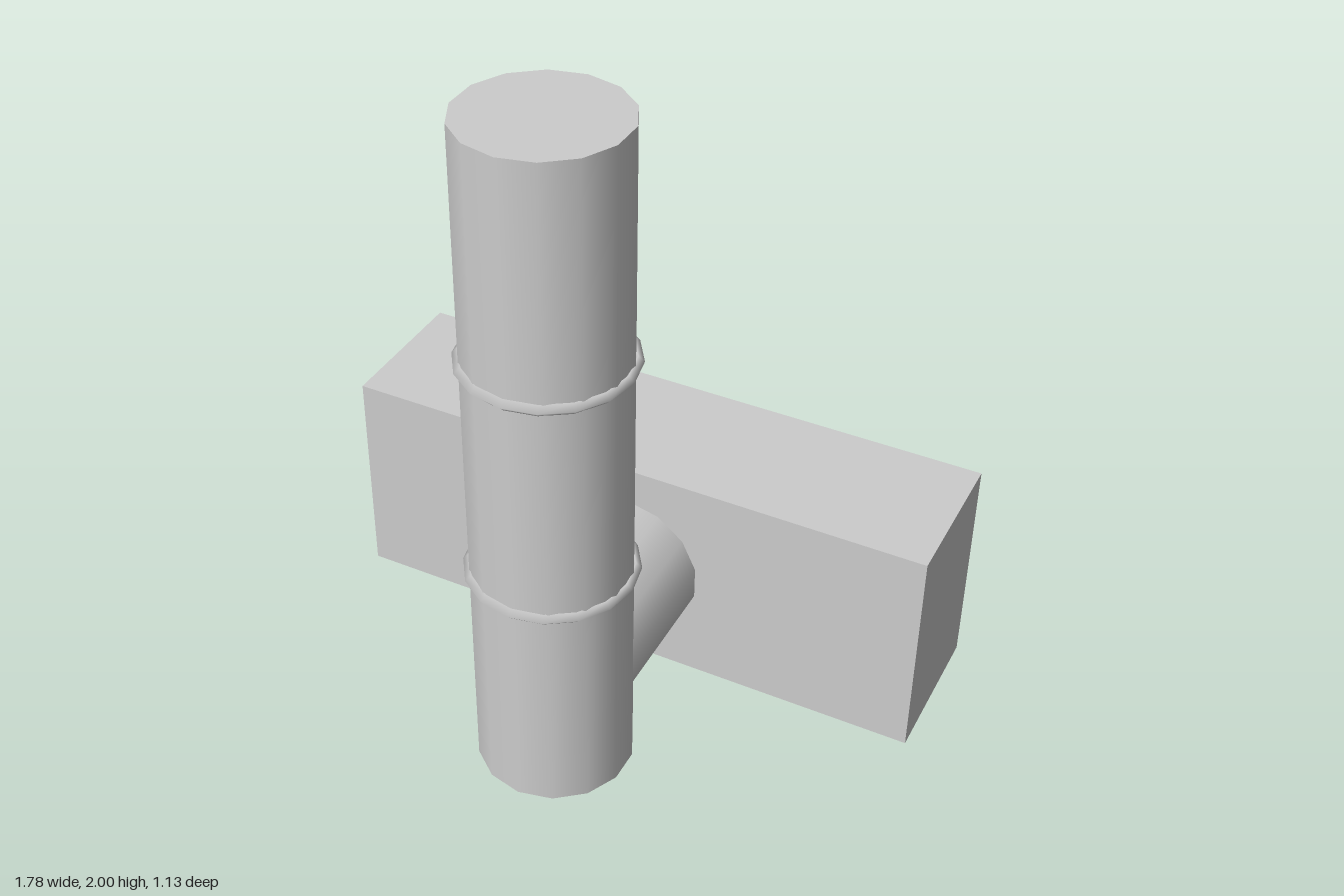
import * as THREE from 'three';

export function createModel() {
  const model = new THREE.Group();
  const grey = new THREE.MeshStandardMaterial({ color: 0xcccccc });
  grey.name = 'grey';

  const U = 2 / 9;          // module: pipe radius
  const tube = 0.0167;      // ring thickness
  const pipeZ = 0.325;
  const boxZ = pipeZ - 3 * U;

  function add(name, geometry, x, y, z) {
    const mesh = new THREE.Mesh(geometry, grey);
    mesh.name = name;
    mesh.position.set(x, y, z);
    model.add(mesh);
  }

  // Long block at the back
  add('backBlock', new THREE.BoxGeometry(8 * U, 3 * U, 2 * U), 0, 1.5 * U, boxZ);

  // Upright pipe
  add('uprightPipe', new THREE.CylinderGeometry(U, U, 9 * U, 14), 0, 4.5 * U, pipeZ);

  // Horizontal pipe joining the block to the upright
  add('connectingPipe',
    new THREE.CylinderGeometry(U, U, 2 * U, 14).rotateX(Math.PI / 2),
    0, 1.5 * U, pipeZ - U);

  // Joint rings at each third of the upright
  for (const [name, height] of [['lowerRing', 3 * U], ['upperRing', 6 * U]]) {
    add(name, new THREE.TorusGeometry(U, tube, 4, 16).rotateX(Math.PI / 2), 0, height, pipeZ);
  }

  return model;
}
